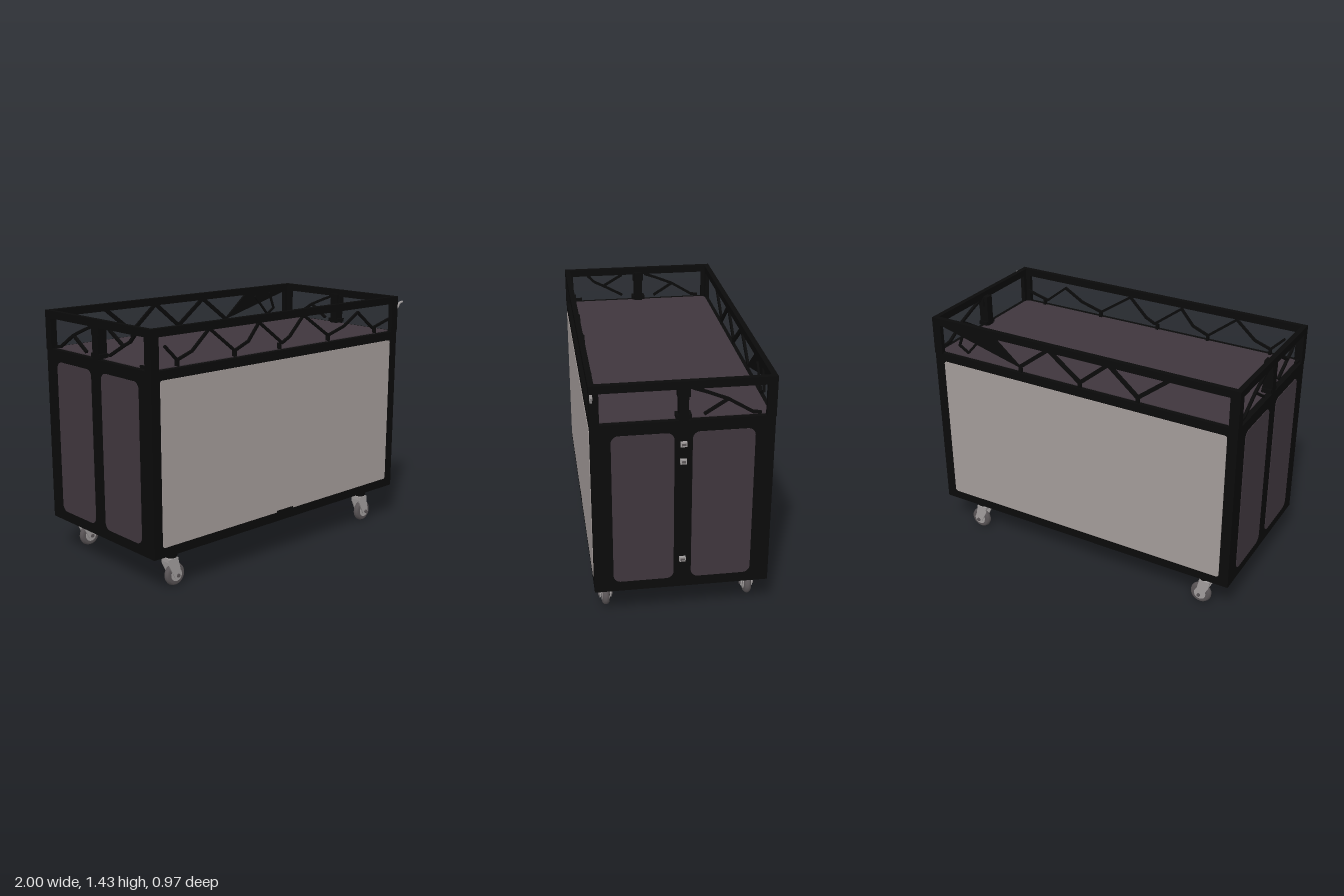
import * as THREE from 'three';

const mat = (name, color, side = THREE.FrontSide) => {
  const m = new THREE.MeshStandardMaterial({ color, side });
  m.name = name;
  return m;
};

export function createModel() {
  const black = mat('black frame', 0x0a0a0a);
  const plum = mat('dark plum panel', 0x3f363d);
  const pale = mat('warm grey panel', 0xa39b99);
  const metal = mat('light metal', 0xa09c9c);
  const rubber = mat('grey tyre', 0x5a5557);

  const model = new THREE.Group();
  model.name = 'rollingCart';
  const X0 = -1, X1 = 0.935, Z = 0.48, XC = (X0 + X1) / 2, W = X1 - X0;

  const add = (name, geo, material, x = 0, y = 0, z = 0, parent = model) => {
    const m = new THREE.Mesh(geo, material);
    m.name = name;
    m.position.set(x, y, z);
    parent.add(m);
    return m;
  };
  const box = (name, material, x, y, z, w, h, d, parent) =>
    add(name, new THREE.BoxGeometry(w, h, d), material, x, y, z, parent);

  // Thin plate with rounded corners, facing +z
  const plate = (w, h, r) => {
    const a = w / 2, b = h / 2, s = new THREE.Shape();
    s.moveTo(-a + r, -b);
    s.lineTo(a - r, -b).absarc(a - r, -b + r, r, -Math.PI / 2, 0);
    s.lineTo(a, b - r).absarc(a - r, b - r, r, 0, Math.PI / 2);
    s.lineTo(-a + r, b).absarc(-a + r, b - r, r, Math.PI / 2, Math.PI);
    s.lineTo(-a, -b + r).absarc(-a + r, -b + r, r, Math.PI, Math.PI * 1.5);
    return new THREE.ExtrudeGeometry(s, { depth: 0.004, bevelEnabled: false, curveSegments: 6 });
  };

  // Flat bar running between two points
  const strut = (name, a, b, w, d, parent) => {
    const p = new THREE.Vector3(...a), q = new THREE.Vector3(...b);
    const m = box(name, black, 0, 0, 0, w, p.distanceTo(q) + w * 0.5, d, parent);
    m.position.copy(p).lerp(q, 0.5);
    m.quaternion.setFromUnitVectors(new THREE.Vector3(0, 1, 0), q.sub(p).normalize());
  };

  // Cabinet and tray floor
  box('cabinet', black, XC, 0.7125, 0, W - 0.004, 1.005, 2 * Z - 0.004);
  add('trayFloor', plate(1.87, 0.9, 0.03), plum, -0.03, 1.215, -0.003).rotation.x = -Math.PI / 2;

  // Large front and back panels
  for (const s of [1, -1]) {
    const p = add(s > 0 ? 'frontPanel' : 'backPanel', plate(1.81, 0.9, 0.015), pale, -0.035, 0.715, s * (Z - 0.003));
    if (s < 0) p.rotation.y = Math.PI;
  }
  box('frontTab', black, -0.035, 0.268, Z, 0.13, 0.014, 0.008);

  // Paired end panels
  for (const s of [1, -1]) {
    for (const t of [1, -1]) {
      const p = add('endPanel', plate(0.327, 0.88, 0.04), plum, s > 0 ? X1 - 0.003 : X0 + 0.003, 0.71, t * 0.211);
      p.rotation.y = s * Math.PI / 2;
    }
  }

  // Latches down the right-hand end
  for (const y of [1.085, 0.985, 0.39]) {
    box('latch', metal, X1 + 0.004, y, 0, 0.016, 0.028, 0.034);
    box('latchPin', rubber, X1 + 0.011, y, 0, 0.008, 0.012, 0.022);
  }

  // Upper rails and angle-section corner posts
  for (const s of [1, -1]) {
    box('longRail', black, XC, 1.41, s * (Z - 0.015), W, 0.043, 0.03);
    box('endRail', black, s > 0 ? X1 - 0.015 : X0 + 0.015, 1.41, 0, 0.03, 0.043, 2 * Z);
    const x = s > 0 ? X1 : X0;
    for (const t of [1, -1]) {
      box('cornerPostFace', black, x - s * 0.0275, 1.31, t * (Z - 0.013), 0.055, 0.2, 0.026);
      box('cornerPostSide', black, x - s * 0.013, 1.31, t * (Z - 0.025), 0.026, 0.2, 0.05);
    }
    // Middle post of each end, with a flared foot
    box('endPost', black, x - s * 0.03, 1.31, 0, 0.06, 0.19, 0.05);
    box('endPostTop', black, x - s * 0.02, 1.37, 0, 0.036, 0.05, 0.066);
    box('endPostFoot', black, x - s * 0.03, 1.235, 0, 0.056, 0.022, 0.082);
  }

  // Branching braces along a side, drawn as a path of [x, y] points
  const brace = (name, pts, z, w, d) => {
    const g = new THREE.Group();
    g.name = name;
    model.add(g);
    for (let i = 1; i < pts.length; i++)
      strut('branch', [...pts[i - 1], z], [...pts[i], z], w, d, g);
  };
  brace('frontBraces', [[-0.88, 1.33], [-0.8, 1.25], [-0.7, 1.285], [-0.58, 1.39], [-0.4, 1.25], [-0.3, 1.29], [-0.22, 1.385],
    [-0.04, 1.25], [0.02, 1.28], [0.13, 1.39], [0.34, 1.25], [0.48, 1.29], [0.6, 1.36], [0.74, 1.25], [0.89, 1.29]], 0.445, 0.014, 0.014);
  for (const x of [-0.8, -0.4, -0.06, 0.34, 0.76]) {
    box('braceStem', black, x, 1.235, 0.443, 0.016, 0.035, 0.02);
  }
  brace('backBraces', [[-0.6, 1.395], [-0.41, 1.245], [-0.23, 1.395], [-0.05, 1.245], [0.15, 1.395], [0.34, 1.25]], -0.462, 0.022, 0.014);
  for (const x of [-0.41, -0.05, 0.34]) box('braceStem', black, x, 1.232, -0.462, 0.02, 0.04, 0.014);

  // Triangular gusset in the back corner
  const tri = new THREE.Shape([[0.34, 1.245], [0.88, 1.385], [0.88, 1.395], [0.52, 1.395]].map(p => new THREE.Vector2(...p)));
  add('gusset', new THREE.ExtrudeGeometry(tri, { depth: 0.014, bevelEnabled: false }), black, 0, 0, -0.469);
  brace('gussetBrace', [[0.6, 1.37], [0.71, 1.245], [0.77, 1.28], [0.73, 1.385]], -0.45, 0.012, 0.012);

  // Forked braces at the ends, as [z, y] points
  const fork = (x, paths) => {
    for (const p of paths)
      for (let i = 1; i < p.length; i++)
        strut('endBranch', [x, p[i - 1][1], p[i - 1][0]], [x, p[i][1], p[i][0]], 0.016, 0.014);
  };
  const backFork = [[[-0.05, 1.385], [-0.12, 1.36], [-0.23, 1.315], [-0.36, 1.235], [-0.4, 1.23]], [[-0.23, 1.315], [-0.11, 1.24]]];
  const frontFork = [[[0.33, 1.385], [0.29, 1.345], [0.23, 1.315], [0.11, 1.25]], [[0.23, 1.315], [0.11, 1.385]], [[0.42, 1.23], [0.38, 1.23]]];
  fork(X1 - 0.02, backFork);
  fork(X0 + 0.02, backFork);
  fork(X0 + 0.02, frontFork);

  // Small curved hook on the front right corner
  const hookPath = new THREE.CatmullRomCurve3([[0.92, 1.355], [0.945, 1.358], [0.965, 1.385], [0.993, 1.392]]
    .map(([x, y]) => new THREE.Vector3(x, y, 0.468)));
  add('hook', new THREE.TubeGeometry(hookPath, 14, 0.007, 8), metal);
  box('hookPlate', metal, X1, 1.365, 0.468, 0.008, 0.045, 0.014);

  // Swivel casters
  const tyreProfile = [[0.03, -0.018], [0.05, -0.02], [0.06, -0.012], [0.064, 0], [0.06, 0.012], [0.05, 0.02], [0.03, 0.018]]
    .map(p => new THREE.Vector2(...p));
  const cheek = new THREE.Shape([[-0.018, 0.05], [0.018, 0.05], [0.022, 0.075], [0.002, 0.165], [-0.062, 0.165], [-0.058, 0.13]]
    .map(p => new THREE.Vector2(...p)));
  const cheekGeo = new THREE.ExtrudeGeometry(cheek, { depth: 0.008, bevelEnabled: false });
  for (const x of [-0.81, 0.738]) {
    for (const z of [0.407, -0.407]) {
      const c = new THREE.Group();
      c.name = 'caster';
      c.position.set(x, 0, z);
      model.add(c);
      box('mountPlate', black, -0.02, 0.203, 0, 0.09, 0.016, 0.085, c);
      add('swivel', new THREE.CylinderGeometry(0.038, 0.03, 0.035, 16), black, -0.02, 0.183, 0, c);
      box('forkCrown', metal, -0.028, 0.158, 0, 0.062, 0.022, 0.072, c);
      for (const zz of [0.026, -0.034]) add('forkCheek', cheekGeo, metal, 0, 0, zz, c);
      add('tyre', new THREE.LatheGeometry(tyreProfile, 24), rubber, 0, 0.064, 0, c).rotation.x = Math.PI / 2;
      add('hub', new THREE.CylinderGeometry(0.036, 0.036, 0.044, 20), metal, 0, 0.064, 0, c).rotation.x = Math.PI / 2;
      add('axle', new THREE.CylinderGeometry(0.011, 0.011, 0.082, 10), rubber, 0, 0.064, 0, c).rotation.x = Math.PI / 2;
    }
  }
  return model;
}
